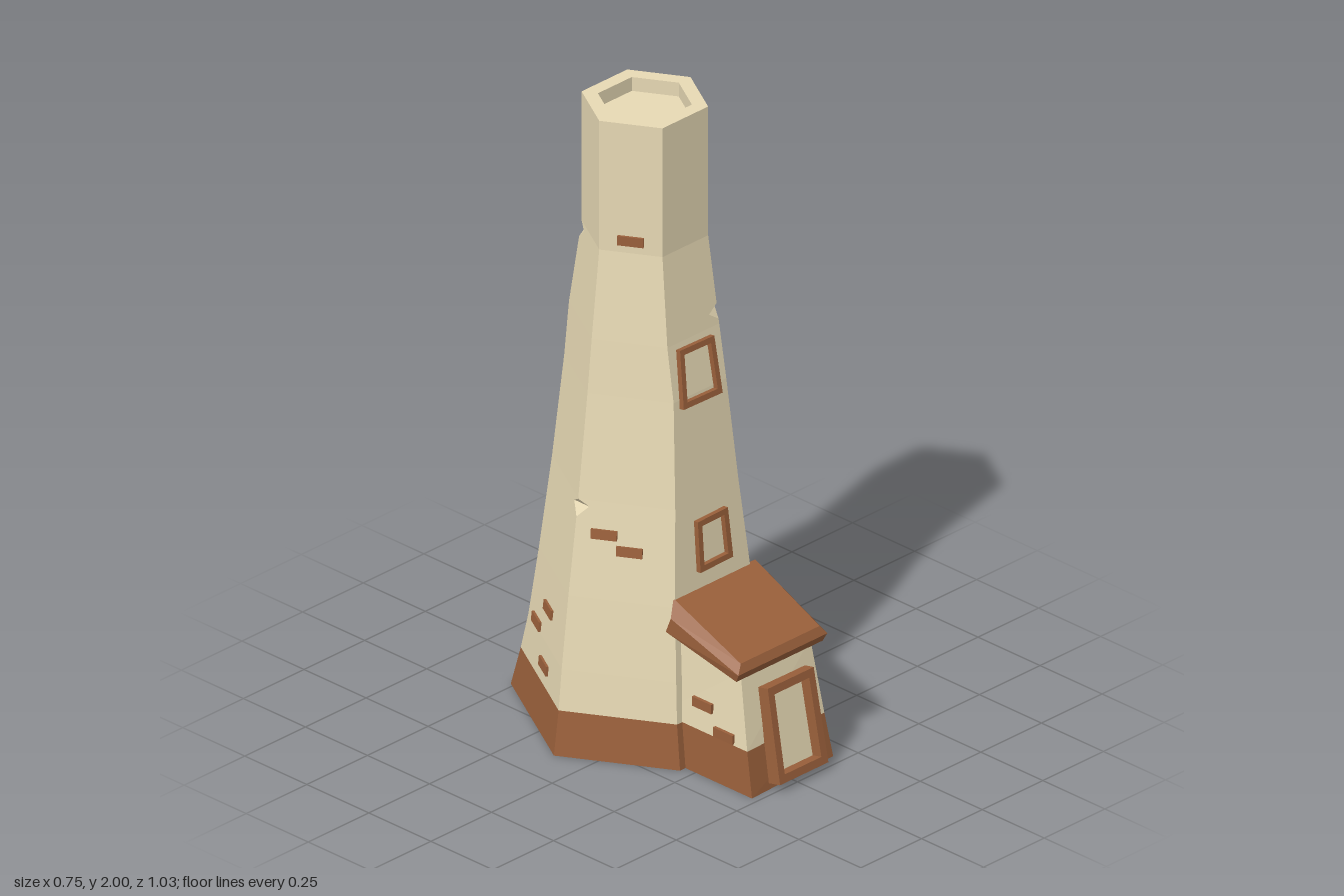
import * as THREE from 'three';

const mat = (name, color) => Object.assign(new THREE.MeshStandardMaterial({ color }), { name });
const Z0 = -0.115; // tower axis

// tower profile: y, side apothem, front apothem, back apothem
const PROFILE = [
  [0, .325, .325, .398], [.14, .308, .305, .35], [.27, .297, .295, .308],
  [.5, .273, .275, .272], [.8, .238, .25, .242], [1.13, .205, .222, .215],
  [1.3, .19, .195, .21], [1.58, .163, .163, .163], [2, .163, .163, .163],
];
function profile(y) {
  let i = 0;
  while (i < PROFILE.length - 2 && y > PROFILE[i + 1][0]) i++;
  const a = PROFILE[i], b = PROFILE[i + 1];
  const t = Math.min(1, Math.max(0, (y - a[0]) / (b[0] - a[0])));
  return a.slice(1).map((v, k) => v + (b[k + 1] - v) * t);
}

// broken corners: corner index (0 = front right, 1 = right ...), height, half height
const CHIPS = [[1, .38, .04], [4, .78, .035], [0, 1.34, .025], [3, 1.56, .035], [2, 1.965, .03]];

// six corners, each with a neighbour point on both sides so that it can be chipped
function hexRing(y, [ap, af, ab] = profile(y)) {
  const s = Math.sqrt(3) / 2, fx = (ap - af / 2) / s, bx = (ap - ab / 2) / s, sx = ap / s;
  const c = [[fx, af], [sx, 0], [bx, -ab], [-bx, -ab], [-sx, 0], [-fx, af]]
    .map(([x, z]) => new THREE.Vector3(x, y, z + Z0));
  return c.flatMap((p, i) => {
    const step = (q) => p.clone().add(q.clone().sub(p).setLength(.035));
    const before = step(c[(i + 5) % 6]), after = step(c[(i + 1) % 6]);
    if (CHIPS.some(([k, cy]) => k === i && Math.abs(cy - y) < 1e-6)) {
      p = before.clone().lerp(after, .5);
      p.chipped = true;
    }
    return [before, p, after];
  });
}

// flat shaded skin through a stack of rings, with optional top cap
function loft(rings, capTop) {
  const v = [];
  const tri = (...p) => p.forEach((q) => v.push(q.x, q.y, q.z));
  for (let i = 0, n = rings[0].length; i < n; i++) {
    const j = (i + 1) % n;
    for (let k = 0; k + 1 < rings.length; k++) {
      const a = rings[k], b = rings[k + 1];
      if (a[i].chipped || b[j].chipped) { // keep the fold around the chip
        tri(a[i], a[j], b[i]);
        tri(a[j], b[j], b[i]);
      } else {
        tri(a[i], a[j], b[j]);
        tri(a[i], b[j], b[i]);
      }
    }
    const top = rings[rings.length - 1];
    if (capTop && i > 0 && j > 0) tri(top[0], top[i], top[j]);
  }
  const g = new THREE.BufferGeometry();
  g.setAttribute('position', new THREE.Float32BufferAttribute(v, 3));
  g.computeVertexNormals();
  return g;
}

// downward facing floor of a ring
const underside = (ring) => loft([[...ring].reverse()], true);

// four cornered ring: front left, front right, back right, back left
const quad = (...p) => p.map((q) => new THREE.Vector3(...q));

// upright rectangle, narrower at the top by the factor taper
const rect = (C, w, h, taper) => new C([[-w, -h], [w, -h], [w * taper, h], [-w * taper, h]]
  .map(([x, y]) => new THREE.Vector2(x / 2, y / 2)));

// frame with an open middle, its back at z = 0
function frameGeometry(w, h, t, depth, taper) {
  const s = rect(THREE.Shape, w, h, taper);
  s.holes.push(rect(THREE.Path, w - 2 * t, h - 2 * t, taper));
  return new THREE.ExtrudeGeometry(s, { depth, bevelEnabled: false });
}

export function createModel() {
  const group = new THREE.Group();
  const plaster = mat('cream plaster', 0xe8dab5);
  const brown = mat('brown clay', 0x9a603b);
  const add = (name, geometry, material, parent = group) => {
    const m = new THREE.Mesh(geometry, material);
    m.name = name;
    parent.add(m);
    return m;
  };

  // tower: base band, then wall with chips, rim and sunken roof floor
  add('baseBand', loft([hexRing(0), hexRing(.14)]), brown);
  add('towerUnderside', underside(hexRing(0)), plaster);
  const ys = PROFILE.slice(1).map((p) => p[0]);
  CHIPS.forEach(([, y, h]) => ys.push(y - h, y, y + h));
  const rings = [...new Set(ys)].sort((a, b) => a - b).map((y) => hexRing(y));
  const inner = [.121, .121, .121];
  add('towerWall', loft([...rings, hexRing(2, inner), hexRing(1.955, inner)], true), plaster);

  // porch with its own band and a sloping roof slab
  const foot = quad([-.165, 0, .478], [.185, 0, .463], [.185, 0, .1], [-.165, 0, .1]);
  const waist = quad([-.158, .14, .452], [.17, .14, .442], [.17, .14, .1], [-.158, .14, .1]);
  const eaves = quad([-.14, .375, .408], [.15, .375, .405], [.15, .45, .1], [-.14, .45, .1]);
  add('porchBand', loft([foot, waist]), brown);
  add('porchUnderside', underside(foot), plaster);
  add('porchWall', loft([waist, eaves], true), plaster);
  const slab = [
    quad([-.165, .357, .415], [.19, .357, .415], [.2, .43, .15], [-.185, .43, .15]),
    quad([-.172, .385, .43], [.195, .385, .43], [.2, .48, .17], [-.185, .48, .17]),
    quad([-.15, .412, .418], [.175, .412, .418], [.182, .528, .152], [-.155, .528, .152]),
  ];
  add('porchRoof', loft(slab, true), brown);
  add('porchRoofUnderside', underside(slab[0]), brown);

  // doorway: deep frame around a plain panel
  const door = new THREE.Group();
  door.name = 'doorway';
  door.position.set(.015, .16, .432);
  door.rotation.set(-.2, .03, -.015);
  group.add(door);
  add('doorFrame', frameGeometry(.205, .295, .025, .053, .95), brown, door);
  const panel = new THREE.ShapeGeometry(rect(THREE.Shape, .16, .25, .95));
  add('doorPanel', panel, plaster, door).position.z = .018;

  // puts a part on a tower face (0 = front, counting towards +x), u along the face
  function place(m, face, y, u, out = 0, roll = 0) {
    const a = face * Math.PI / 3, col = face === 0 ? 1 : face === 3 ? 2 : 0;
    const d = profile(y)[col] + out;
    const tilt = Math.atan((profile(y - .03)[col] - profile(y + .03)[col]) / .06);
    m.position.set(Math.sin(a) * d + Math.cos(a) * u, y, Z0 + Math.cos(a) * d - Math.sin(a) * u);
    m.rotation.set(-tilt, a, roll, 'YXZ');
  }

  // window frames: face, y, u, width, height, taper, roll
  [[0, .66, .005, .135, .16, .92, .02], [0, 1.19, -.005, .16, .18, .88, -.02], [3, .915, 0, .13, .17, .94, .02]]
    .forEach(([face, y, u, w, h, taper, roll]) =>
      place(add('windowFrame', frameGeometry(w, h, .018, .03, taper), brown), face, y, u, -.014, roll));

  // exposed bricks: face, y, u
  const brick = new THREE.BoxGeometry(.078, .03, .015);
  [[1, 1.225, -.037], [1, 1.175, .024], [1, .93, -.015], [2, .7, .09], [2, .45, -.03],
    [5, .7, -.057], [5, .655, .02], [5, 1.62, 0], [4, .375, 0], [4, .29, -.095], [4, .2, .01],
    [3, 1.17, -.055], [3, .6, -.015], [3, .2, -.015]]
    .forEach(([face, y, u]) => place(add('brick', brick, brown), face, y, u));
  [[1.91, -.023], [1.87, .027]].forEach(([y, u]) => place(add('paleBrick', brick, plaster), 3, y, u));

  // bricks on the porch sides
  [[-.153, .225, .27], [-.158, .16, .36], [.175, .1, .36]].forEach(([x, y, z]) => {
    const m = add('porchBrick', brick, brown);
    m.position.set(x, y, z);
    m.rotation.y = Math.PI / 2;
  });
  return group;
}
